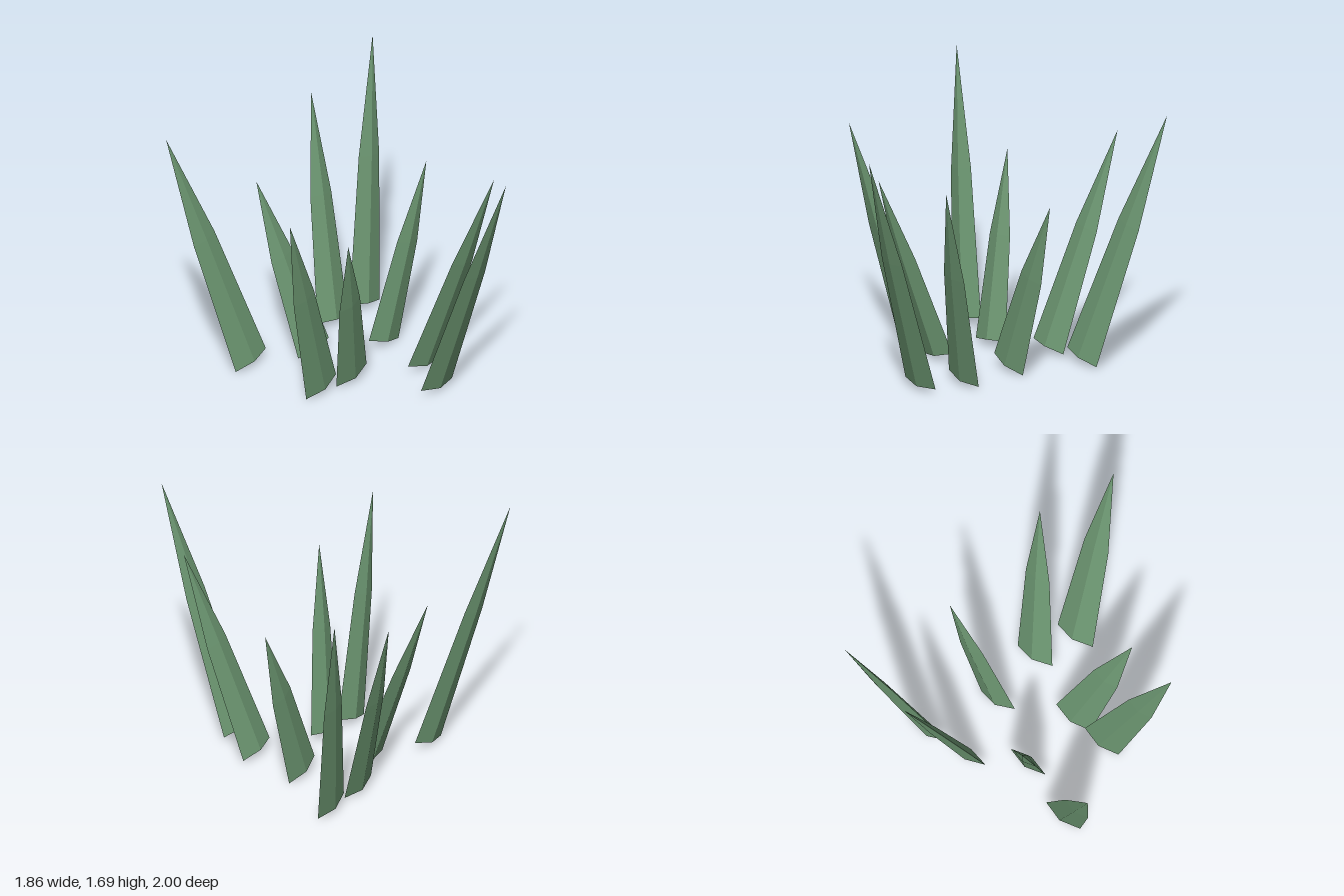
import * as THREE from 'three';

export function createModel() {
  const group = new THREE.Group();
  group.name = 'grassTuft';

  const leafGreen = new THREE.MeshStandardMaterial({ color: 0x6b9570, flatShading: true });
  leafGreen.name = 'leafGreen';

  // Unit blade: four-sided spike with a closed base and a shoulder past halfway
  const profile = [[0, 0], [1, 0], [0.68, 0.55], [0, 1]].map(([r, y]) => new THREE.Vector2(r, y));
  const bladeGeometry = new THREE.LatheGeometry(profile, 4);
  const halfWidth = 0.136, halfDepth = 0.038, baseY = 0.042;

  // Base x, base z, then tip x, y, z of each blade
  const blades = [
    [0.133, 0.457, 0.22, 1.69, 1.0],
    [0.263, 0.2, 0.505, 1.45, 0.595],
    [-0.175, 0, -0.45, 1.2, 0.257],
    [-0.415, -0.028, -0.843, 1.455, 0.133],
    [0.28, -0.18, 0.655, 1.2, -0.18],
    [-0.115, -0.41, -0.3, 1.2, -0.74],
    [-0.505, -0.577, -0.93, 1.69, -0.908],
    [0.225, -0.588, 0.43, 1.45, -1.0],
    [0.515, -0.6, 0.925, 1.69, -0.953],
  ];

  blades.forEach(([bx, bz, tx, ty, tz], i) => {
    const base = new THREE.Vector3(bx, baseY, bz);
    const axis = new THREE.Vector3(tx, ty, tz).sub(base);
    const length = axis.length();
    axis.normalize();
    // The broad side runs along x, square to the leaning axis
    const across = new THREE.Vector3(axis.y, -axis.x, 0).normalize();
    const depth = new THREE.Vector3().crossVectors(across, axis);

    const blade = new THREE.Mesh(bladeGeometry, leafGreen);
    blade.name = `grassBlade${i + 1}`;
    blade.position.copy(base);
    blade.quaternion.setFromRotationMatrix(new THREE.Matrix4().makeBasis(across, axis, depth));
    blade.scale.set(halfWidth, length, halfDepth);
    group.add(blade);
  });

  return group;
}
